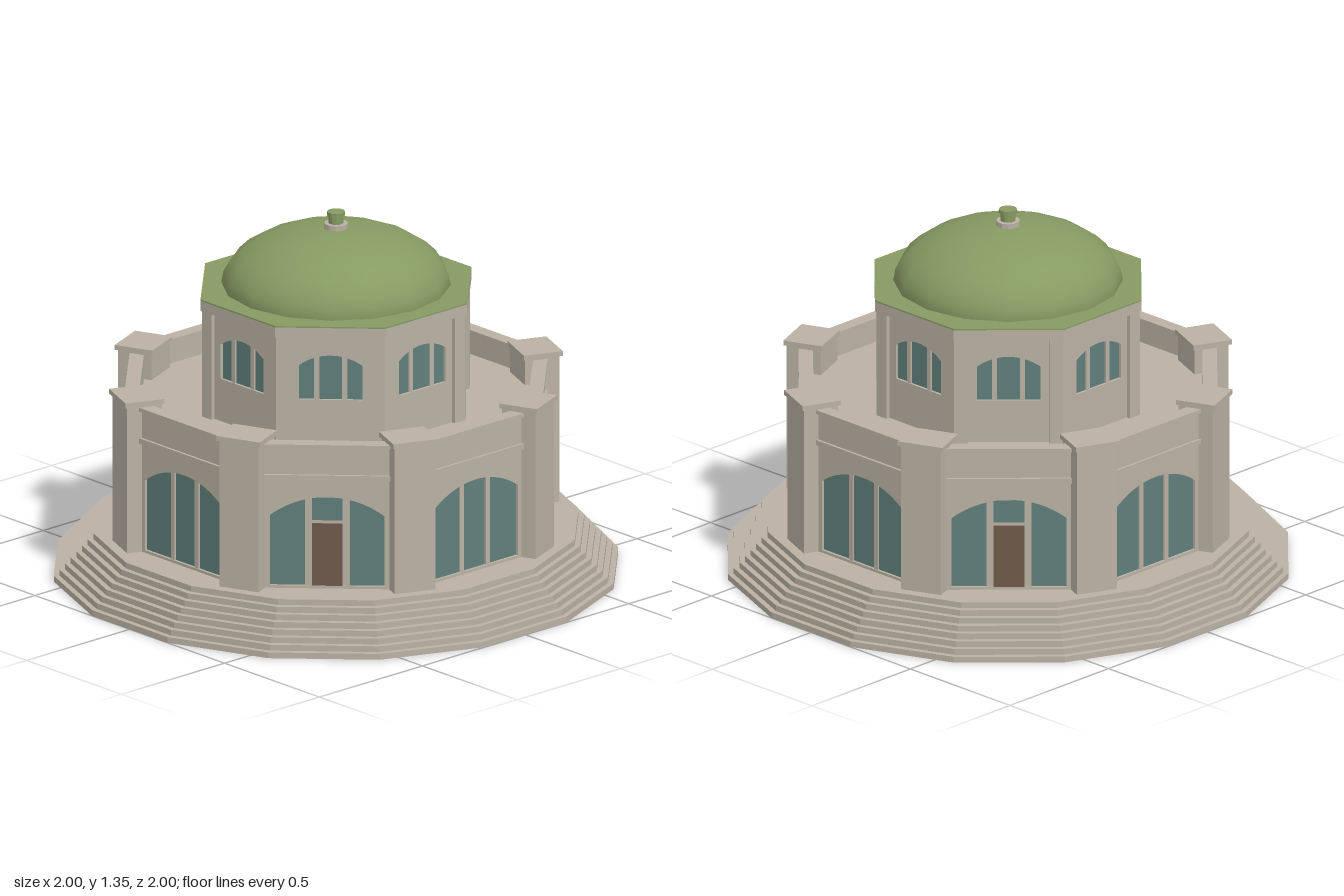
import * as THREE from 'three';

const mat = (name, color) => {
  const m = new THREE.MeshStandardMaterial({ color });
  m.name = name;
  return m;
};

export function createModel() {
  const stone = mat('stone', 0xbab1a3);
  const copper = mat('green copper', 0x869a62);
  const glass = mat('glass', 0x5f7f7b);
  const wood = mat('door wood', 0x6f5a4a);
  const model = new THREE.Group();

  const add = (parent, name, geo, material) => {
    const mesh = new THREE.Mesh(geo, material);
    mesh.name = name;
    parent.add(mesh);
    return mesh;
  };
  // Box centred on x and z, spanning y0 to y1
  const box = (parent, name, material, w, y0, y1, z0, z1, x = 0) => {
    const geo = new THREE.BoxGeometry(w, y1 - y0, z1 - z0);
    geo.translate(x, (y0 + y1) / 2, (z0 + z1) / 2);
    return add(parent, name, geo, material);
  };
  // Flat-sided prism measured to its faces, one face square to +z
  const prism = (name, material, sides, apothem, y0, y1) => {
    const r = apothem / Math.cos(Math.PI / sides);
    let geo = new THREE.CylinderGeometry(r, r, y1 - y0, sides);
    geo.rotateY(Math.PI / sides);
    geo.translate(0, (y0 + y1) / 2, 0);
    geo = geo.toNonIndexed();
    geo.computeVertexNormals();
    return add(model, name, geo, material);
  };
  // Opening with a shallow arched head
  const arch = (path, w, y0, spring, top) => {
    const s = top - spring;
    const r = (w * w + s * s) / (2 * s);
    const a = Math.asin(w / r);
    path.moveTo(-w, y0);
    path.lineTo(w, y0);
    path.lineTo(w, spring);
    path.absarc(0, top - r, r, Math.PI / 2 - a, Math.PI / 2 + a, false);
    path.lineTo(-w, y0);
    return path;
  };
  const extrude = (shape, depth, z) => {
    const geo = new THREE.ExtrudeGeometry(shape, { depth, bevelEnabled: false, curveSegments: 10 });
    return geo.translate(0, 0, z);
  };
  // Wall panel with an arched opening and recessed glass
  const windowWall = (parent, name, half, y0, y1, zIn, zOut, opening) => {
    const wall = new THREE.Shape();
    wall.moveTo(-half, y0);
    wall.lineTo(half, y0);
    wall.lineTo(half, y1);
    wall.lineTo(-half, y1);
    wall.closePath();
    wall.holes.push(arch(new THREE.Path(), ...opening));
    add(parent, name, extrude(wall, zOut - zIn, zIn), stone);
    add(parent, name + 'Glass', extrude(arch(new THREE.Shape(), ...opening), 0.004, zOut - 0.014), glass);
  };

  // Stepped sixteen-sided base
  const steps = 8, baseTop = 0.175;
  for (let i = 0; i < steps; i++) {
    prism('step', stone, 16, 1 - i * 0.02, (i * baseTop) / steps, ((i + 1) * baseTop) / steps);
  }

  // Solid cores of the hall and the drum
  prism('hallRoofDeck', stone, 8, 0.695, baseTop, 0.63);
  prism('drumCore', stone, 8, 0.43, 0.6, 1.03);

  // Upper storey corner pier profile, folded around the octagon corner
  const pier = new THREE.Shape([
    [0, -0.509], [0.046, -0.49], [0.023, -0.43], [-0.023, -0.43], [-0.046, -0.49],
  ].map(([x, y]) => new THREE.Vector2(x, y)));
  const pierGeo = extrude(pier, 0.43, 0.6);
  pierGeo.rotateX(-Math.PI / 2);

  for (let i = 0; i < 8; i++) {
    const angle = (i * Math.PI) / 4;
    const side = new THREE.Group();
    side.name = 'side';
    side.rotation.y = angle;
    model.add(side);

    // Lower wall with its two cornices
    const z = 0.737;
    windowWall(side, 'hallWall', 0.285, baseTop, 0.715, 0.695, z, [0.205, 0.185, 0.45, 0.52]);
    box(side, 'lowerCornice', stone, 0.5, 0.585, 0.605, z - 0.01, z + 0.01);
    box(side, 'parapetCoping', stone, 0.5, 0.705, 0.72, 0.695, z + 0.01);
    if (i % 2) {
      // Door with its frame and the light above
      box(side, 'doorFrame', stone, 0.16, baseTop, 0.525, z - 0.016, z - 0.004);
      box(side, 'door', wood, 0.11, 0.18, 0.42, z - 0.008, z - 0.001);
      box(side, 'transom', glass, 0.11, 0.432, 0.517, z - 0.008, z - 0.002);
    } else {
      for (const s of [-1, 1]) box(side, 'mullion', stone, 0.02, 0.18, 0.52, z - 0.014, z - 0.003, s * 0.063);
    }

    // Upper wall with a three-part window
    windowWall(side, 'drumWall', 0.165, 0.6, 1.03, 0.425, 0.455, [0.113, 0.79, 0.92, 0.957]);
    for (const s of [-1, 1]) box(side, 'drumMullion', stone, 0.018, 0.785, 0.955, 0.441, 0.452, s * 0.05);

    // Corner piers of both storeys
    const corner = new THREE.Group();
    corner.name = 'corner';
    corner.rotation.y = angle + Math.PI / 8;
    model.add(corner);
    box(corner, 'cornerPier', stone, 0.155, baseTop, 0.727, 0.69, 0.822);
    box(corner, 'pierCap', stone, 0.172, 0.727, 0.745, 0.683, 0.831);
    add(corner, 'drumPier', pierGeo, stone);
  }

  // Drum cornice with its copper roof
  prism('drumCornice', stone, 8, 0.476, 1.03, 1.068);
  prism('roofSheet', copper, 8, 0.476, 1.068, 1.073);

  // Shallow dome
  const dome = new THREE.SphereGeometry(0.41, 16, 8, 0, Math.PI * 2, 0, Math.PI / 2);
  dome.scale(1, 0.212 / 0.41, 1);
  dome.translate(0, 1.073, 0);
  add(model, 'dome', dome, copper);

  // Finial
  prism('finialBase', stone, 12, 0.041, 1.275, 1.302);
  prism('finialPost', copper, 12, 0.026, 1.302, 1.33);
  prism('finialCap', copper, 12, 0.031, 1.33, 1.345);

  return model;
}
